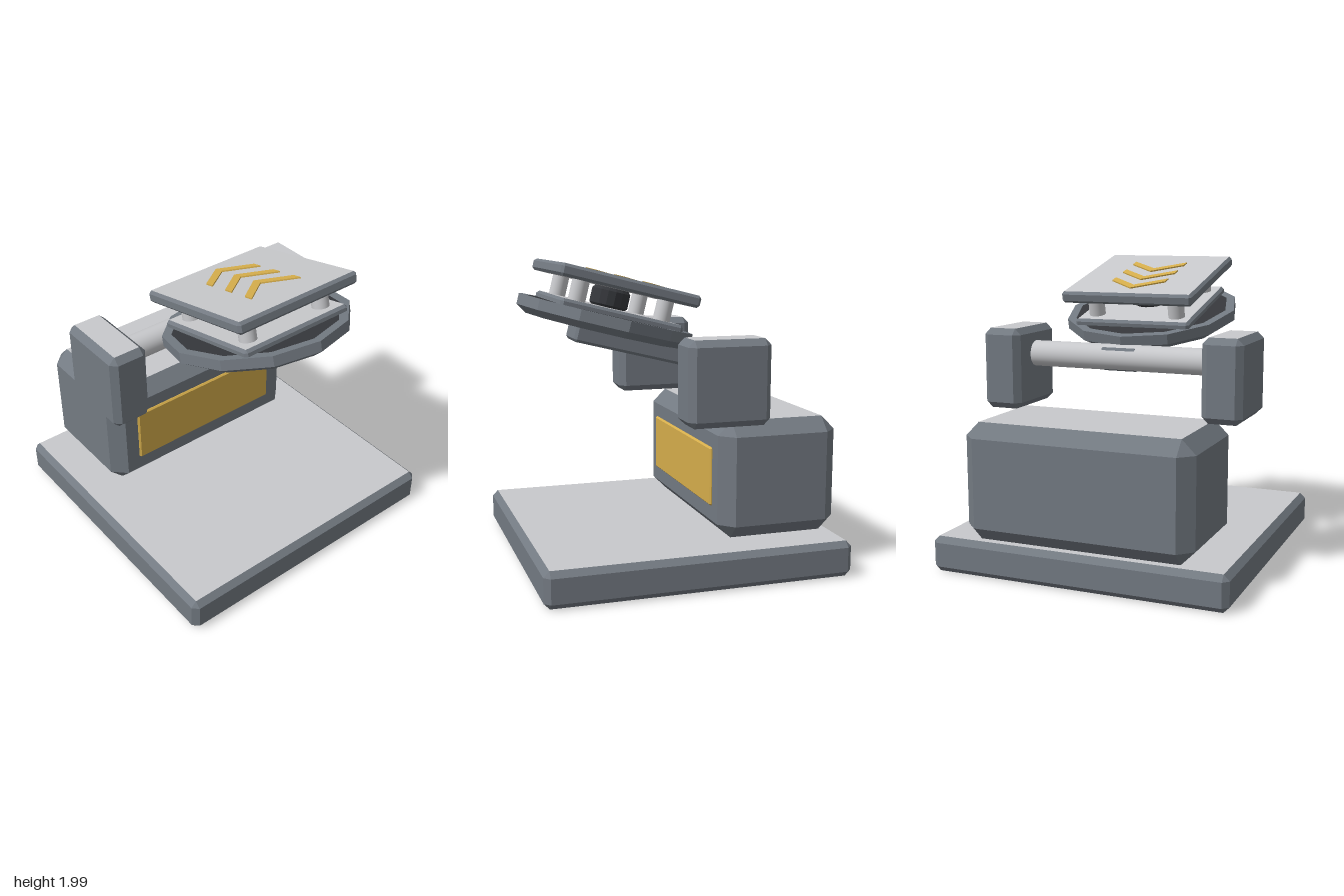
import * as THREE from 'three';
import { ConvexGeometry } from 'three/addons/geometries/ConvexGeometry.js';

function material(name, color) {
  const m = new THREE.MeshStandardMaterial({ color });
  m.name = name;
  return m;
}

// Box with all edges chamfered; group 0 is the sides, group 1 the top and bottom
function chamferBox(w, h, d, c) {
  const pts = [];
  for (const sx of [-1, 1]) for (const sy of [-1, 1]) for (const sz of [-1, 1]) {
    for (const full of [0, 1, 2]) {
      pts.push(new THREE.Vector3(
        sx * (w / 2 - (full === 0 ? 0 : c)),
        sy * (h / 2 - (full === 1 ? 0 : c)),
        sz * (d / 2 - (full === 2 ? 0 : c))));
    }
  }
  const geo = new ConvexGeometry(pts);
  const normal = geo.attributes.normal;
  const sides = [], caps = [];
  for (let i = 0; i < normal.count; i += 3) {
    (Math.abs(normal.getY(i)) > 0.99 ? caps : sides).push(i, i + 1, i + 2);
  }
  geo.setIndex([...sides, ...caps]);
  geo.addGroup(0, sides.length, 0);
  geo.addGroup(sides.length, caps.length, 1);
  return geo;
}

function flat(geo) {
  const g = geo.toNonIndexed();
  g.computeVertexNormals();
  return g;
}

export function createModel() {
  const model = new THREE.Group();
  model.name = 'tiltingPlatformMachine';

  const slate = material('slate', 0x737a82);
  const light = material('lightMetal', 0xc8c9cc);
  const gold = material('gold', 0xd6ae4c);
  const dark = material('darkMetal', 0x35373b);

  const add = (parent, name, geo, mat, x = 0, y = 0, z = 0) => {
    const mesh = new THREE.Mesh(geo, mat);
    mesh.name = name;
    mesh.position.set(x, y, z);
    parent.add(mesh);
    return mesh;
  };

  // Floor slab, rear housing and its front panel
  add(model, 'base', chamferBox(2, 0.235, 2, 0.038), [slate, light], 0, 0.1175, 0);
  add(model, 'housing', chamferBox(1.54, 0.765, 0.81, 0.092), [slate, light], 0, 0.6175, -0.595);
  add(model, 'frontPanel', chamferBox(1.16, 0.385, 0.04, 0.01), [gold, gold], 0, 0.62, -0.195);

  // Bearing blocks and the axle between them
  for (const s of [-1, 1]) {
    add(model, s > 0 ? 'leftBearing' : 'rightBearing',
      chamferBox(0.268, 0.54, 0.54, 0.042), [slate, light], s * 0.768, 1.27, -0.193);
  }
  const axle = add(model, 'axle', new THREE.CylinderGeometry(0.087, 0.087, 1.3, 32), light, 0, 1.355, -0.2);
  axle.rotation.z = Math.PI / 2;

  // Everything on the arm tilts about the axle
  const head = new THREE.Group();
  head.name = 'tiltingHead';
  head.position.set(0, 1.355, -0.2);
  head.rotation.x = -0.245;
  model.add(head);
  const mid = 0.605;

  add(head, 'arm', chamferBox(0.265, 0.16, 0.87, 0.018), [slate, slate], 0, 0, 0.375);

  // Twelve-sided dish: slate rim around a dark disc
  const rim = [[0.53, 0.03], [0.6, 0.074], [0.6, 0.143], [0.54, 0.143]]
    .map(p => new THREE.Vector2(...p));
  add(head, 'dishRim', flat(new THREE.LatheGeometry(rim, 12)), slate, 0, 0, mid);
  add(head, 'dishDisc', flat(new THREE.CylinderGeometry(0.54, 0.53, 0.113, 12)), dark, 0, 0.0865, mid);

  // Two square plates held apart by posts and a hub
  add(head, 'lowerPlate', chamferBox(0.82, 0.07, 0.82, 0.018), [slate, light], 0, 0.15, mid);
  add(head, 'upperPlate', chamferBox(0.93, 0.08, 0.93, 0.018), [slate, light], 0, 0.355, mid);
  for (const sx of [-1, 1]) for (const sz of [-1, 1]) {
    add(head, 'post', new THREE.CylinderGeometry(0.056, 0.056, 0.14, 24), light,
      sx * 0.29, 0.25, mid + sz * 0.288);
  }
  const hub = [[0.11, 0.18], [0.13, 0.2], [0.13, 0.295], [0.11, 0.317]]
    .map(p => new THREE.Vector2(...p));
  add(head, 'hub', flat(new THREE.LatheGeometry(hub, 16)), dark, 0, 0, mid);

  // Three chevrons pointing back across the upper plate
  const chevron = new THREE.Shape([
    [0, 0], [-0.193, -0.155], [-0.193, -0.22], [0, -0.067], [0.193, -0.22], [0.193, -0.155],
  ].map(p => new THREE.Vector2(...p)));
  const chevronGeo = new THREE.ExtrudeGeometry(chevron, { depth: 0.009, bevelEnabled: false });
  chevronGeo.rotateX(-Math.PI / 2);
  for (let i = 0; i < 3; i++) {
    add(head, 'chevron', chevronGeo, gold, 0, 0.395, 0.25 + i * 0.193);
  }

  return model;
}
